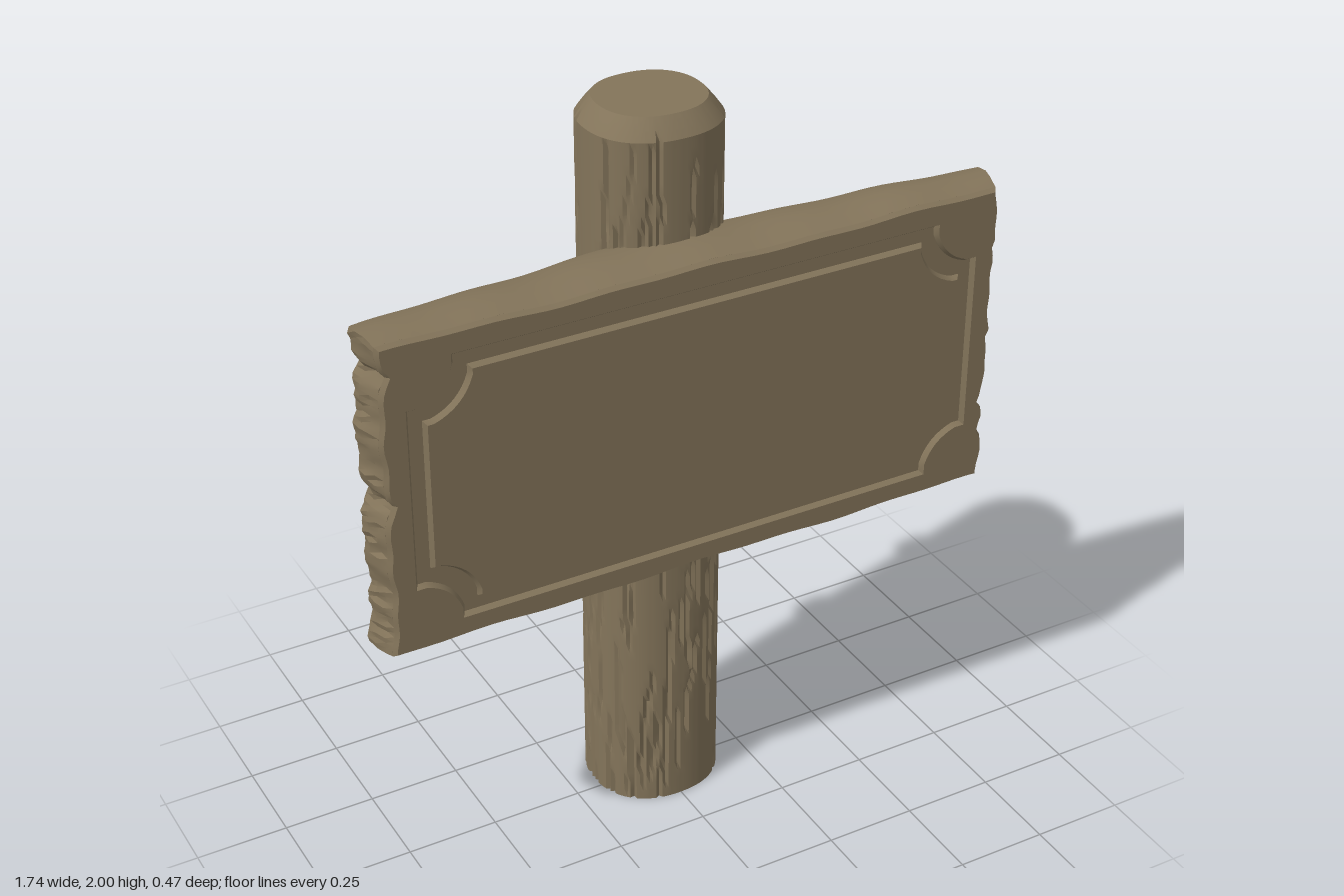
import * as THREE from 'three';
import { toCreasedNormals } from 'three/addons/utils/BufferGeometryUtils.js';

function seeded(seed) {
  return () => {
    seed = (seed * 1664525 + 1013904223) % 4294967296;
    return seed / 4294967296;
  };
}

const clamp = THREE.MathUtils.clamp;
const lerp = THREE.MathUtils.lerp;

// Round post with a chamfered top and long vertical cracks in its bark
function postGeometry() {
  const rand = seeded(7);
  const cols = 128, rows = 72, top = 1.95;
  const profile = [new THREE.Vector2(0, 0)];
  for (let j = 0; j <= rows; j++) profile.push(new THREE.Vector2(1, (top * j) / rows));
  profile.push(new THREE.Vector2(0.9, 1.975), new THREE.Vector2(0.78, 2), new THREE.Vector2(0, 2));
  const geo = new THREE.LatheGeometry(profile, cols);

  // depth of the cracks, column by row
  const depth = Array.from({ length: cols }, () => new Float32Array(profile.length));
  for (let k = 0; k < 330; k++) {
    let col = Math.floor(rand() * cols);
    const start = Math.floor(rand() * rows) - 3;
    const length = 3 + Math.floor(rand() * 11);
    const d = 0.005 + rand() * 0.006;
    for (let j = Math.max(1, start); j < Math.min(rows + 2, start + length); j++) {
      depth[col][j] = d;
      if (rand() < 0.12) col = (col + 1) % cols;
    }
  }

  const p = geo.attributes.position;
  for (let i = 0; i < p.count; i++) {
    const row = i % profile.length;
    const col = Math.floor(i / profile.length) % cols;
    const a = (col / cols) * Math.PI * 2;
    const s = Math.sin(a), c = Math.cos(a);
    // slightly squared round section
    const square = Math.pow(Math.abs(s) ** 2.25 + Math.abs(c) ** 2.25, -1 / 2.25);
    const r = profile[row].x * square;
    const cut = profile[row].x > 0 ? depth[col][row] : 0;
    p.setXYZ(i, -0.003 + s * (r * 0.177 - cut), p.getY(i), -0.038 + c * (r * 0.168 - cut));
  }
  return toCreasedNormals(geo, 0.5);
}

// Worn outline of the board; u and v run from -1 to 1, w from back (0) to front (1)
const midY = 1.245;
const insetX = [0.028, 0.002, 0.004, 0.014, 0.024];
const insetY = [0.022, 0.004, 0.0, 0.002, 0.013];
const notches = [[-1, 1.24], [1, 1.24], [1, 1.05], [1, 0.97], [-1, 1.59], [1, 1.5]];
function outline(u, v, w) {
  const k = Math.round(w * 4);
  const side = Math.sign(u);
  const y0 = midY + v * 0.435;
  let hx = 0.867 - insetX[k] + 0.004 * Math.sin(v * 9 + side * 2) + 0.003 * Math.sin(v * 23 + side);
  for (const [s, y] of notches) if (s === side) hx -= 0.014 * Math.max(0, 1 - Math.abs(y0 - y) / 0.025);
  const hy = 0.436 - insetY[k] + 0.003 * Math.sin(u * 8 + v * 2) + 0.002 * Math.sin(u * 19 + v);
  return [u * lerp(0.85, hx, Math.abs(u) ** 6), midY + v * lerp(0.43, hy, Math.abs(v) ** 6)];
}

// Thick plank, tapering in depth towards both ends
function boardGeometry() {
  const rand = seeded(21);
  const nx = 48, ny = 60;
  const grain = Array.from({ length: ny + 1 }, () => new Float32Array(nx + 1));
  for (let k = 0; k < 75; k++) {
    const j = 1 + Math.floor(rand() * (ny - 1));
    const start = Math.floor(rand() * nx) - 4;
    const end = start + 5 + Math.floor(rand() * 14);
    const d = 0.002 + rand() * 0.004;
    for (let i = Math.max(0, start); i <= Math.min(nx, end); i++) grain[j][i] = d;
  }
  // hewn roughness on the end grain
  const chips = Array.from({ length: (ny + 1) * 5 }, () => rand() * 0.009);
  const geo = new THREE.BoxGeometry(2, 2, 1, nx, ny, 4);
  const p = geo.attributes.position;
  for (let i = 0; i < p.count; i++) {
    const u = p.getX(i), v = p.getY(i), w = p.getZ(i) + 0.5;
    const ix = Math.round((u + 1) * nx / 2), iy = Math.round((v + 1) * ny / 2), iw = Math.round(w * 4);
    let [x, y] = outline(u, v, w);
    if (Math.abs(u) > 0.999 && iw > 0 && iw < 4) x -= Math.sign(u) * chips[iy * 5 + iw];
    let back = 0.033 + 0.058 * clamp((Math.abs(x) - 0.18) / 0.67, 0, 1);
    if (iw === 0) back += grain[iy][ix];
    p.setXYZ(i, x, y, lerp(back, 0.222, w));
  }
  return toCreasedNormals(geo, 0.4);
}

// Rectangle with scooped, stepped corners
function panelPoints(inset) {
  const hx = 0.775 - inset, hy = 0.357 - inset, c = 0.118, s = 0.022;
  const arc = new THREE.QuadraticBezierCurve(
    new THREE.Vector2(hx - s, hy - c), new THREE.Vector2(hx - 0.095, hy - 0.095), new THREE.Vector2(hx - c, hy - s));
  const corner = [new THREE.Vector2(hx, hy - c), ...arc.getPoints(8), new THREE.Vector2(hx - c, hy)];
  const points = [];
  for (const [sx, sy] of [[1, 1], [-1, 1], [-1, -1], [1, -1]]) {
    const part = corner.map((q) => new THREE.Vector2(q.x * sx, midY + q.y * sy));
    points.push(...(sx * sy > 0 ? part : part.reverse()));
  }
  return points;
}

function raised(shape) {
  const geo = new THREE.ExtrudeGeometry(shape, {
    depth: 0.002, bevelThickness: 0.012, bevelSize: 0.008, bevelOffset: -0.008, bevelSegments: 1,
  });
  geo.translate(0, 0, 0.222);
  return toCreasedNormals(geo, 0.4);
}

// Border around the carved groove, following the worn outline
function borderGeometry() {
  const points = [];
  const n = 40;
  for (const [ax, ay, bx, by] of [[-1, -1, 1, -1], [1, -1, 1, 1], [1, 1, -1, 1], [-1, 1, -1, -1]]) {
    for (let i = 0; i < n; i++) {
      const t = i / n;
      points.push(new THREE.Vector2(...outline(lerp(ax, bx, t), lerp(ay, by, t), 1)));
    }
  }
  const shape = new THREE.Shape(points);
  shape.holes.push(new THREE.Path(panelPoints(0).reverse()));
  return raised(shape);
}

export function createModel() {
  const group = new THREE.Group();
  group.name = 'woodenSign';
  const wood = new THREE.MeshStandardMaterial({ color: 0x83745a });
  wood.name = 'weatheredWood';

  const add = (name, geometry) => {
    const mesh = new THREE.Mesh(geometry, wood);
    mesh.name = name;
    group.add(mesh);
    return mesh;
  };

  add('post', postGeometry());
  add('board', boardGeometry());
  add('boardBorder', borderGeometry());
  add('boardPanel', raised(new THREE.Shape(panelPoints(0.036))));

  // Pegs through the back of the post
  for (const [name, y] of [['upperPeg', 1.525], ['lowerPeg', 0.97]]) {
    const profile = [[0, 0], [0.05, 0], [0.052, 0.045], [0.043, 0.055], [0, 0.055]].map((q) => new THREE.Vector2(...q));
    const peg = add(name, toCreasedNormals(new THREE.LatheGeometry(profile, 10), 0.3));
    peg.rotation.x = -Math.PI / 2;
    peg.position.set(-0.004, y, -0.184);
  }
  return group;
}
